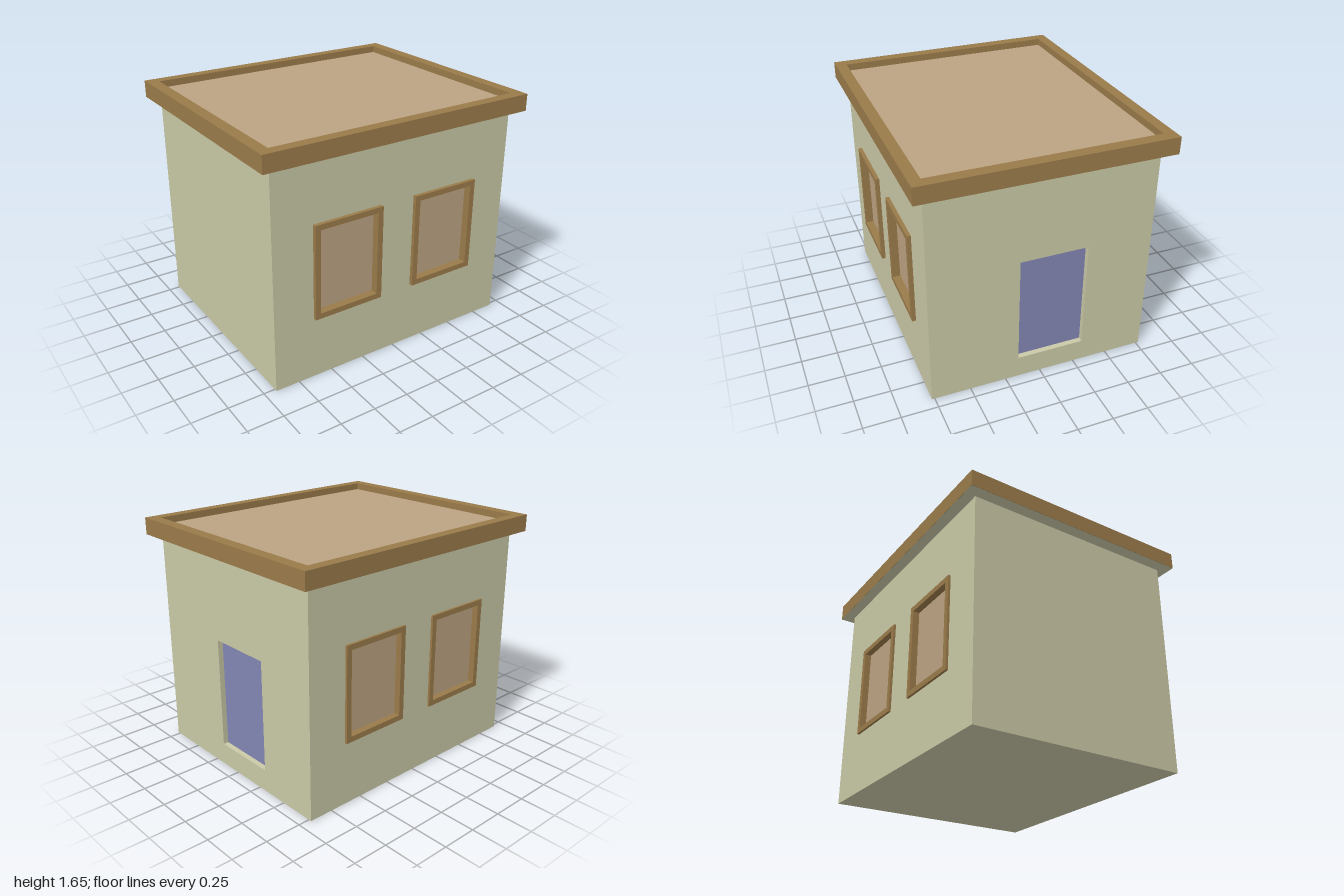
import * as THREE from 'three';

const mat = (name, color) => {
  const m = new THREE.MeshStandardMaterial({ color });
  m.name = name;
  return m;
};

// Counter-clockwise rectangle from corner to corner
const rect = (Type, x0, y0, x1, y1) => new Type([
  new THREE.Vector2(x0, y0), new THREE.Vector2(x1, y0),
  new THREE.Vector2(x1, y1), new THREE.Vector2(x0, y1),
]);

// Rectangle with rectangular holes
function holed(outer, holes) {
  const s = rect(THREE.Shape, ...outer);
  for (const h of holes) s.holes.push(rect(THREE.Path, ...h));
  return s;
}

const extrude = (shape, depth) => new THREE.ExtrudeGeometry(shape, { depth, bevelEnabled: false });

export function createModel() {
  const wall = mat('wall', 0xc9c8a6);
  const trim = mat('trim', 0x9a7b4a);
  const panel = mat('panel', 0xbba282);
  const doorBlue = mat('doorBlue', 0x8286b3);

  const group = new THREE.Group();
  const add = (name, geo, material, x = 0, y = 0, z = 0, parent = group) => {
    const m = new THREE.Mesh(geo, material);
    m.name = name;
    m.position.set(x, y, z);
    parent.add(m);
    return m;
  };

  const W = 0.92, D = 0.77, H = 1.53, T = 0.04; // half width, half depth, wall height, recess
  const windowX = 0.382, winY0 = 0.44, winY1 = 1.1, winHalf = 0.253, bar = 0.036;

  // Solid core behind the wall panels
  add('wallCore', new THREE.BoxGeometry(2 * W - T, H, 2 * (D - T)), wall, -T / 2, H / 2, 0);

  // Front and back walls, each with two framed windows
  const openings = [-windowX, windowX].map((x) => [
    x - winHalf + bar, winY0 + bar, x + winHalf - bar, winY1 - bar,
  ]);
  for (const [side, turn, proud] of [['front', 0, 0.026], ['back', Math.PI, 0.016]]) {
    const face = new THREE.Group();
    face.name = side + 'Face';
    face.rotation.y = turn;
    group.add(face);
    add(side + 'Wall', extrude(holed([-W, 0, W, H], openings), T), wall, 0, 0, D - T, face);
    for (const o of openings) {
      const outer = [o[0] - bar, o[1] - bar, o[2] + bar, o[3] + bar];
      const lip = 0.002; // keeps the frame's inner faces clear of the wall opening
      const inner = [o[0] + lip, o[1] + lip, o[2] - lip, o[3] - lip];
      add('windowFrame', extrude(holed(outer, [inner]), T + proud - 0.005), trim, 0, 0, D - T + 0.005, face);
      add('windowPane', new THREE.BoxGeometry(o[2] - o[0], o[3] - o[1], 0.009), panel,
        (o[0] + o[2]) / 2, (o[1] + o[3]) / 2, D - T + 0.007, face);
    }
  }

  // Left wall with the recessed door; its local x runs along -z
  const door = [-0.16, 0.155, 0.31, 0.93];
  const sideWall = add('doorWall', extrude(holed([-D + T, 0, D - T, H], [door]), T), wall, W - T, 0, 0);
  sideWall.rotation.y = Math.PI / 2;
  add('door', new THREE.BoxGeometry(0.006, door[3] - door[1], door[2] - door[0]), doorBlue,
    W - T, (door[1] + door[3]) / 2, -(door[0] + door[2]) / 2);

  // Roof: raised rim, pale underside and sunken deck
  const ring = holed([-1, -0.845, 1, 0.845], [[-W, -D, W, D]]);
  const rim = add('roofRim', extrude(ring, 0.117), trim, 0, H + 0.001, 0);
  rim.rotation.x = -Math.PI / 2;
  const soffit = add('roofUnderside', new THREE.ShapeGeometry(ring), wall, 0, H - 0.001, 0);
  soffit.rotation.x = Math.PI / 2;
  add('roofDeck', new THREE.BoxGeometry(2 * W, 0.07, 2 * D), panel, 0, H + 0.035, 0);

  return group;
}
